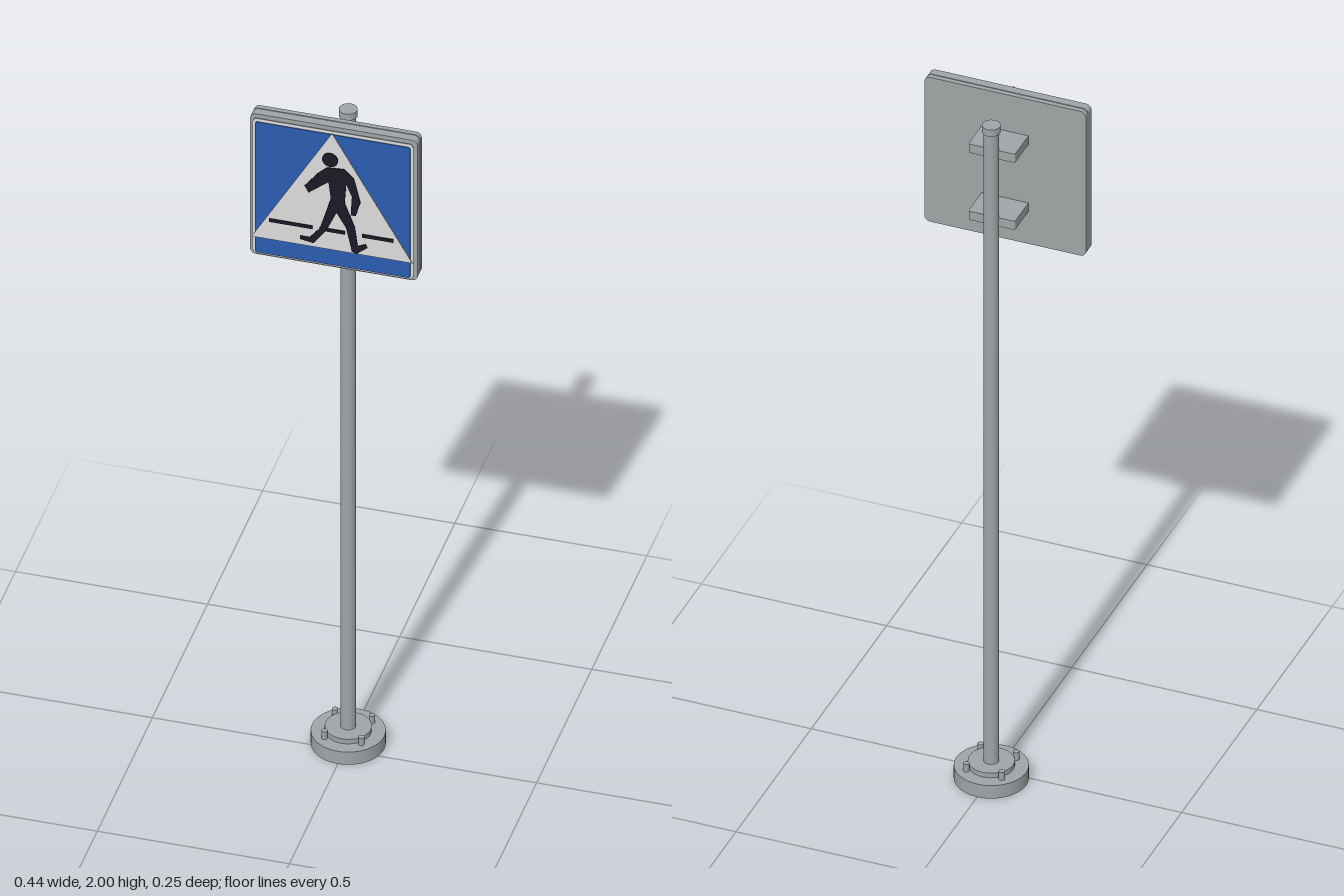
import * as THREE from 'three';

const material = (name, color) => {
  const m = new THREE.MeshStandardMaterial({ color });
  m.name = name;
  return m;
};

export function createModel() {
  const steel = material('galvanised steel', 0xa0a4a6);
  const blue = material('sign blue', 0x2a5cb0);
  const white = material('sign white', 0xdcdcdc);
  const black = material('symbol black', 0x1b1a26);

  const model = new THREE.Group();
  model.name = 'crossingSign';
  const poleZ = -0.034;
  const signY = 1.783;

  const add = (name, geometry, mat, x = 0, y = 0, z = 0) => {
    const mesh = new THREE.Mesh(geometry, mat);
    mesh.name = name;
    mesh.position.set(x, y, z);
    model.add(mesh);
    return mesh;
  };

  // Upright cylinder between two heights
  const post = (name, radius, y0, y1, x = 0, z = poleZ, sides = 32) =>
    add(name, new THREE.CylinderGeometry(radius, radius, y1 - y0, sides), steel, x, (y0 + y1) / 2, z);

  const roundedRect = (w, h, r) => {
    const s = new THREE.Shape();
    const x = w / 2, y = h / 2;
    s.absarc(x - r, y - r, r, 0, Math.PI / 2);
    s.absarc(-x + r, y - r, r, Math.PI / 2, Math.PI);
    s.absarc(-x + r, -y + r, r, Math.PI, Math.PI * 1.5);
    s.absarc(x - r, -y + r, r, Math.PI * 1.5, Math.PI * 2);
    return s;
  };

  // Flat plate extruded from z0 to z1
  const plate = (name, shape, z0, z1, mat, y = 0) =>
    add(name, new THREE.ExtrudeGeometry(shape, { depth: z1 - z0, bevelEnabled: false, curveSegments: 8 }), mat, 0, y, z0);

  const polygon = (points) => new THREE.Shape(points.map(([x, y]) => new THREE.Vector2(x, y)));

  // Foot, flange, pole and cap
  post('base', 0.094, 0, 0.039, 0, poleZ, 48);
  post('flange', 0.059, 0.039, 0.053);
  post('pole', 0.0195, 0.05, 1.95);
  post('poleCap', 0.0235, 1.945, 1.965);
  for (const sx of [-1, 1]) {
    for (const sz of [-1, 1]) post('anchorBolt', 0.008, 0.039, 0.062, sx * 0.048, poleZ + sz * 0.048, 12);
  }

  // Brackets tying the sign to the pole
  for (const y of [1.878, 1.676]) {
    const shape = roundedRect(0.126, 0.107, 0.004);
    const geometry = new THREE.ExtrudeGeometry(shape, { depth: 0.026, bevelEnabled: false, curveSegments: 3 });
    geometry.rotateX(-Math.PI / 2);
    add('bracket', geometry, steel, 0, y - 0.013, 0.0215);
  }

  // Sign housing and face layers
  plate('backPanel', roundedRect(0.436, 0.434, 0.016), 0.058, 0.071, steel, signY);
  plate('frame', roundedRect(0.436, 0.434, 0.016), 0.0735, 0.096, steel, signY);
  plate('whiteBorder', roundedRect(0.418, 0.418, 0.012), 0.102, 0.104, white, signY);
  plate('blueField', roundedRect(0.404, 0.404, 0.006), 0.107, 0.109, blue, signY);
  plate('whiteTriangle', polygon([[-0.209, 1.632], [0.209, 1.632], [0, 1.992]]), 0.112, 0.114, white);

  // Ground line, broken around the legs
  for (const [x0, x1] of [[-0.162, -0.05], [-0.03, 0.035], [0.08, 0.162]]) {
    add('groundLine', new THREE.BoxGeometry(x1 - x0, 0.01, 0.002), black, (x0 + x1) / 2, 1.695, 0.119);
  }

  // Walking figure
  const body = polygon([
    [-0.01, 1.892], [-0.035, 1.868], [-0.068, 1.825], [-0.058, 1.805], [-0.006, 1.848],
    [0, 1.8], [-0.014, 1.75], [-0.029, 1.7], [-0.055, 1.667], [-0.08, 1.667],
    [-0.08, 1.657], [-0.045, 1.651], [-0.01, 1.7], [0.015, 1.757], [0.04, 1.715],
    [0.055, 1.645], [0.067, 1.64], [0.095, 1.664], [0.09, 1.674], [0.07, 1.664],
    [0.062, 1.722], [0.036, 1.79], [0.04, 1.85], [0.055, 1.815], [0.052, 1.757],
    [0.065, 1.757], [0.077, 1.8], [0.06, 1.87], [0.035, 1.895],
  ]);
  plate('walkerBody', body, 0.123, 0.125, black);
  const head = new THREE.Shape();
  head.absarc(-0.002, 1.917, 0.021, 0, Math.PI * 2);
  plate('walkerHead', head, 0.123, 0.125, black);

  return model;
}
